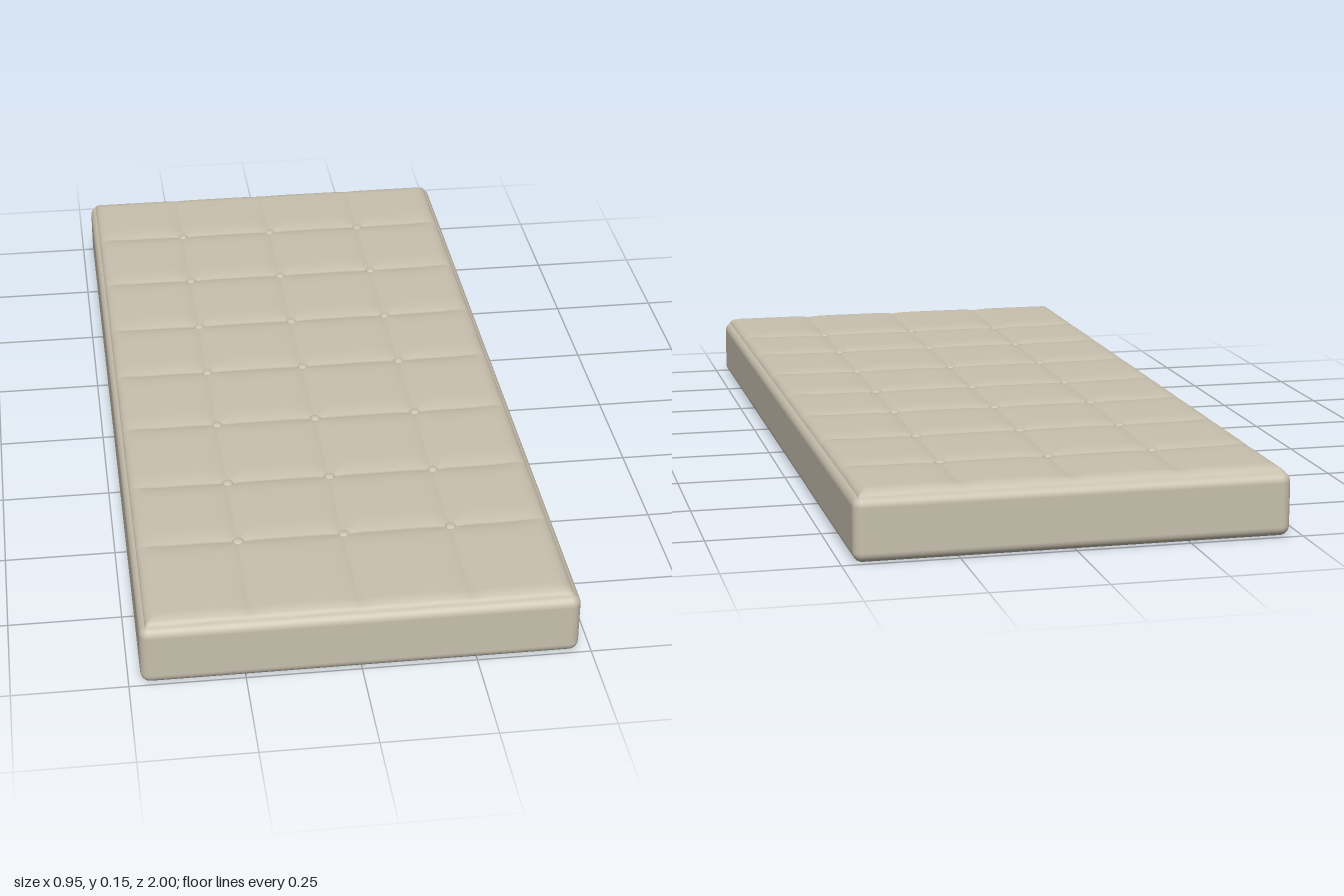
import * as THREE from 'three';
import { RoundedBoxGeometry } from 'three/addons/geometries/RoundedBoxGeometry.js';

const SEAMS_X = [-0.235, 0, 0.24];
const SEAMS_Z = [-0.76, -0.51, -0.265, -0.035, 0.21, 0.465, 0.7];
const HALF_X = 0.462, HALF_Z = 0.987;

// Grid lines gathered closely around the seams and the rolled border
function gridLines(seams, half) {
  const lines = [];
  for (const s of seams) {
    lines.push(s);
    for (const d of [0.004, 0.01, 0.02, 0.035, 0.055, 0.08]) lines.push(s - d, s + d);
  }
  for (const d of [0, 0.002, 0.006, 0.012, 0.022, 0.035, 0.08]) lines.push(d - half, half - d);
  return lines.sort((a, b) => a - b);
}

const nearest = (v, seams) => Math.min(...seams.map((s) => Math.abs(v - s)));
const crease = (d, width) => Math.max(0, 1 - d / width) ** 3;

// Height of the quilted top: rolled border, sewn seams, dimples at the buttons
function topHeight(x, z) {
  const border = Math.min(HALF_X - Math.abs(x), HALF_Z - Math.abs(z));
  const t = Math.min(border / 0.035, 1);
  const dx = nearest(x, SEAMS_X), dz = nearest(z, SEAMS_Z);
  const fade = Math.min(border / 0.05, 1);
  const seam = 0.007 * Math.max(crease(dx, 0.07), crease(dz, 0.07)) * fade;
  const dimple = 0.003 * crease(Math.hypot(dx, dz), 0.09);
  return 0.134 + 0.0195 * Math.sqrt(1 - (1 - t) ** 2) - seam - dimple;
}

function quiltedGeometry() {
  const xs = gridLines(SEAMS_X, HALF_X), zs = gridLines(SEAMS_Z, HALF_Z);
  const geometry = new THREE.PlaneGeometry(1, 1, xs.length - 1, zs.length - 1);
  geometry.rotateX(-Math.PI / 2);
  const position = geometry.attributes.position;
  for (let i = 0; i < position.count; i++) {
    const x = xs[i % xs.length], z = zs[Math.floor(i / xs.length)];
    position.setXYZ(i, x, topHeight(x, z), z);
  }
  geometry.computeVertexNormals();
  return geometry;
}

export function createModel() {
  const group = new THREE.Group();
  group.name = 'mattress';
  const fabric = new THREE.MeshStandardMaterial({ color: 0xc8c0ae });

  function add(name, geometry, parent = group) {
    const mesh = new THREE.Mesh(geometry, fabric);
    mesh.name = name;
    parent.add(mesh);
    return mesh;
  }

  // Rounded mattress block
  add('body', new RoundedBoxGeometry(0.948, 0.14, 2, 5, 0.022)).position.y = 0.07;

  // Quilted upper surface
  add('quiltedTop', quiltedGeometry());

  // Tufting buttons at the seam crossings
  const buttons = new THREE.Group();
  buttons.name = 'buttons';
  group.add(buttons);
  const buttonGeometry = new THREE.SphereGeometry(0.0125, 16, 10);
  buttonGeometry.scale(1, 0.45, 1);
  for (const x of SEAMS_X) {
    for (const z of SEAMS_Z) {
      add('button', buttonGeometry, buttons).position.set(x, topHeight(x, z) + 0.002, z);
    }
  }
  return group;
}
